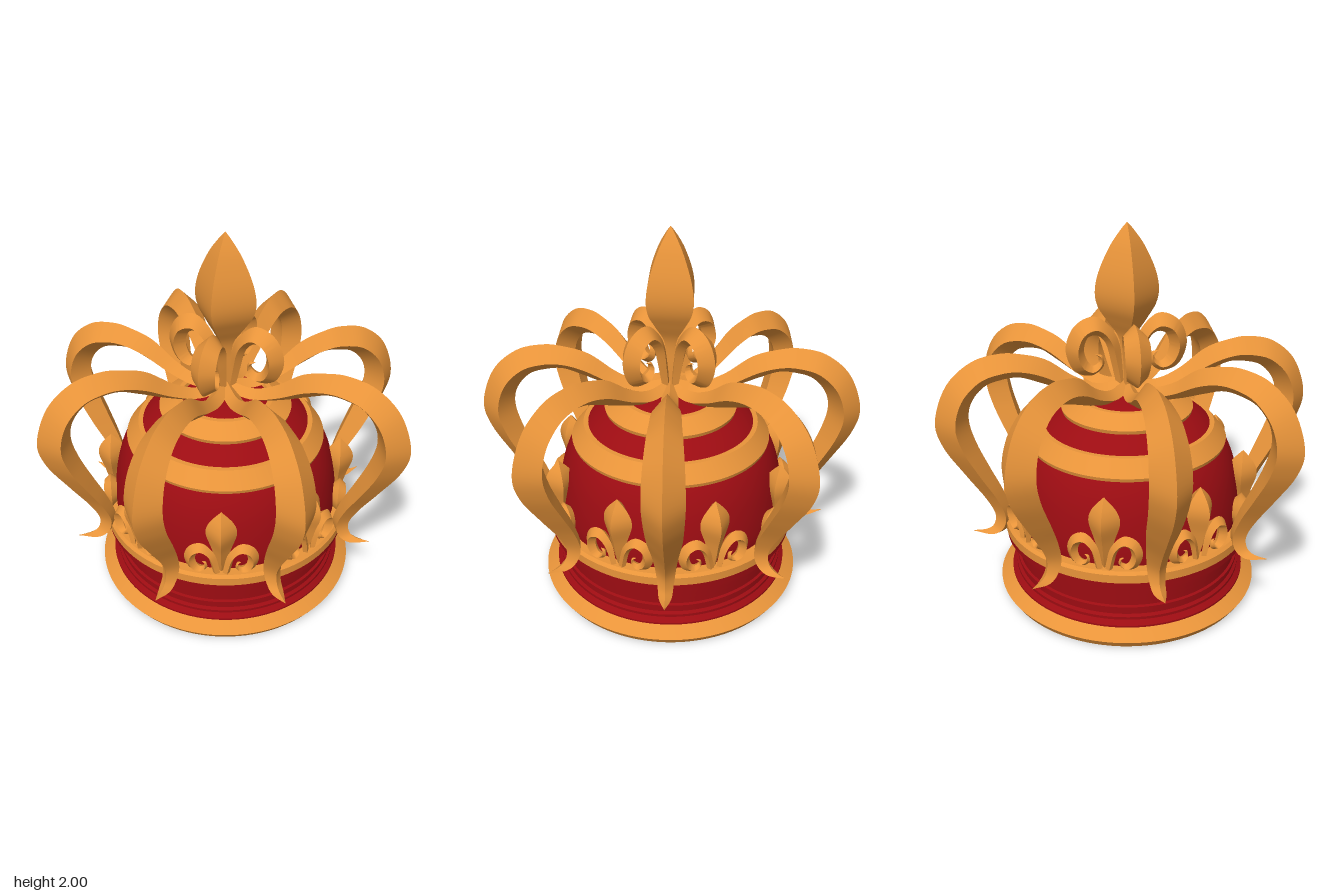
import * as THREE from 'three';
import { toCreasedNormals } from 'three/addons/utils/BufferGeometryUtils.js';

const gold = new THREE.MeshStandardMaterial({ color: 0xe8943a, side: THREE.DoubleSide });
const red = new THREE.MeshStandardMaterial({ color: 0x9c0c12, side: THREE.DoubleSide });

function mesh(name, geometry, material) {
  const m = new THREE.Mesh(geometry, material);
  m.name = name;
  return m;
}

// Turned part from [radius, height] pairs, bottom to top
function turned(name, profile, material, sides = 96) {
  const points = profile.map(([r, y]) => new THREE.Vector2(r, y));
  return mesh(name, toCreasedNormals(new THREE.LatheGeometry(points, sides), 0.5), material);
}

// Four-sided leaf with a smooth outline and sharp ridges
function leaf(name, profile) {
  const curve = new THREE.SplineCurve(profile.map(([r, y]) => new THREE.Vector2(r, y)));
  const pts = curve.getPoints(36).map(p => [Math.max(p.x, 0), p.y]);
  return turned(name, pts, gold, 4);
}

// Kite-section strap; stations are [outerX, outerY, innerX, innerY, halfWidth]
function strapGeometry(stations, steps) {
  const outer = new THREE.CatmullRomCurve3(
    stations.map(s => new THREE.Vector3(s[0], s[1], s[4])), false, 'catmullrom');
  const inner = new THREE.CatmullRomCurve3(
    stations.map(s => new THREE.Vector3(s[2], s[3], 0)), false, 'catmullrom');
  const pos = [], index = [];
  for (let i = 0; i <= steps; i++) {
    const o = outer.getPoint(i / steps), n = inner.getPoint(i / steps);
    const w = Math.max(o.z, 0);
    const ex = o.x + (n.x - o.x) * 0.58, ey = o.y + (n.y - o.y) * 0.58;
    pos.push(o.x, o.y, 0, ex, ey, w, n.x, n.y, 0, ex, ey, -w);
    if (i === steps) break;
    for (let j = 0; j < 4; j++) {
      const a = i * 4 + j, b = i * 4 + (j + 1) % 4;
      index.push(a, b, a + 4, b, b + 4, a + 4);
    }
  }
  const g = new THREE.BufferGeometry();
  g.setAttribute('position', new THREE.Float32BufferAttribute(pos, 3));
  g.setIndex(index);
  return toCreasedNormals(g, 0.5);
}

const armStations = [
  [0.00, 1.19, 0.00, 1.12, 0.04],
  [0.15, 1.17, 0.16, 1.10, 0.045],
  [0.28, 1.22, 0.31, 1.14, 0.05],
  [0.42, 1.32, 0.46, 1.20, 0.06],
  [0.55, 1.36, 0.56, 1.235, 0.07],
  [0.66, 1.37, 0.65, 1.23, 0.075],
  [0.80, 1.335, 0.74, 1.20, 0.085],
  [0.93, 1.22, 0.81, 1.12, 0.095],
  [1.00, 1.03, 0.83, 1.02, 0.10],
  [0.97, 0.88, 0.80, 0.89, 0.095],
  [0.87, 0.71, 0.74, 0.74, 0.085],
  [0.775, 0.56, 0.68, 0.60, 0.065],
  [0.73, 0.46, 0.64, 0.46, 0.05],
  [0.74, 0.395, 0.665, 0.37, 0.04],
  [0.78, 0.37, 0.74, 0.335, 0.03],
  [0.85, 0.37, 0.85, 0.365, 0],
];

const scrollStations = [
  [0.00, 1.13, 0.05, 1.12, 0.02],
  [0.02, 1.28, 0.08, 1.26, 0.03],
  [0.06, 1.43, 0.11, 1.38, 0.045],
  [0.16, 1.53, 0.155, 1.43, 0.055],
  [0.27, 1.49, 0.205, 1.42, 0.065],
  [0.32, 1.37, 0.225, 1.36, 0.065],
  [0.28, 1.25, 0.21, 1.30, 0.055],
  [0.19, 1.215, 0.18, 1.27, 0.045],
  [0.125, 1.26, 0.15, 1.285, 0.03],
  [0.13, 1.32, 0.145, 1.31, 0.02],
  [0.17, 1.33, 0.17, 1.33, 0],
];

export function createModel() {
  const crown = new THREE.Group();
  crown.name = 'crown';

  // Base rim, moulded band and inner lining
  crown.add(turned('baseRim', [
    [0.6, 0.08], [0.61, 0], [0.69, 0], [0.715, 0.04], [0.65, 0.085], [0.6, 0.085]], gold));
  crown.add(turned('mouldedBand', [
    [0.65, 0.08], [0.65, 0.095], [0.625, 0.115], [0.625, 0.13], [0.61, 0.14], [0.61, 0.165],
    [0.618, 0.17], [0.618, 0.185], [0.605, 0.19], [0.605, 0.225], [0.612, 0.23], [0.612, 0.26],
    [0.622, 0.265], [0.622, 0.285], [0.645, 0.30], [0.645, 0.32], [0.668, 0.33], [0.668, 0.37]], red));
  crown.add(turned('lining', [[0.598, 0.02], [0.598, 0.4]], red));
  crown.add(turned('middleRing', [
    [0.6, 0.37], [0.675, 0.37], [0.675, 0.415], [0.66, 0.43], [0.6, 0.43]], gold));

  // Cloth dome with two gold bands
  const domeCurve = new THREE.SplineCurve([
    [0.6, 0.38], [0.615, 0.46], [0.605, 0.6], [0.575, 0.74], [0.52, 0.86],
    [0.44, 0.95], [0.34, 1.02], [0.2, 1.085], [0, 1.11],
  ].map(([r, y]) => new THREE.Vector2(r, y)));
  crown.add(turned('clothDome', domeCurve.getPoints(40).map(p => [Math.max(p.x, 0), p.y]), red));
  crown.add(turned('domeBand', [
    [0.5, 0.85], [0.525, 0.85], [0.53, 0.87], [0.465, 0.95], [0.43, 0.95]], gold));
  crown.add(turned('domeCap', [
    [0.3, 1.02], [0.345, 1.02], [0.35, 1.04], [0.255, 1.095], [0.23, 1.095], [0.22, 1.07]], gold));

  // Eight arching arms
  const armGeometry = strapGeometry(armStations, 90);
  for (let k = 0; k < 8; k++) {
    const arm = mesh('arm', armGeometry, gold);
    arm.rotation.y = k * Math.PI / 4;
    crown.add(arm);
  }

  // Top ornament: bud on a stem with four scrolls
  const scrollGeometry = strapGeometry(scrollStations, 70);
  for (let k = 0; k < 4; k++) {
    const scroll = mesh('topScroll', scrollGeometry, gold);
    scroll.rotation.y = k * Math.PI / 2;
    crown.add(scroll);
  }
  crown.add(leaf('topBud', [
    [0.035, 1.1], [0.035, 1.25], [0.04, 1.4], [0.1, 1.5], [0.15, 1.58], [0.165, 1.66],
    [0.145, 1.76], [0.09, 1.88], [0.035, 1.96], [0, 2]]));

  // Eight lily ornaments around the dome
  for (let k = 0; k < 8; k++) {
    const lily = new THREE.Group();
    lily.name = 'lilyOrnament';
    lily.rotation.y = Math.PI / 8 + k * Math.PI / 4;
    const petal = leaf('lilyPetal', [
      [0, 0.4], [0.025, 0.48], [0.05, 0.58], [0.078, 0.68], [0.06, 0.75], [0, 0.82]]);
    petal.position.z = 0.625;
    lily.add(petal);
    for (const side of [0, 1]) {
      const scroll = mesh('lilyScroll', scrollGeometry, gold);
      scroll.scale.setScalar(0.6);
      scroll.position.set(0, -0.303, 0.645);
      scroll.rotation.y = side ? Math.PI - 0.15 : 0.15;
      lily.add(scroll);
    }
    crown.add(lily);
  }
  return crown;
}
